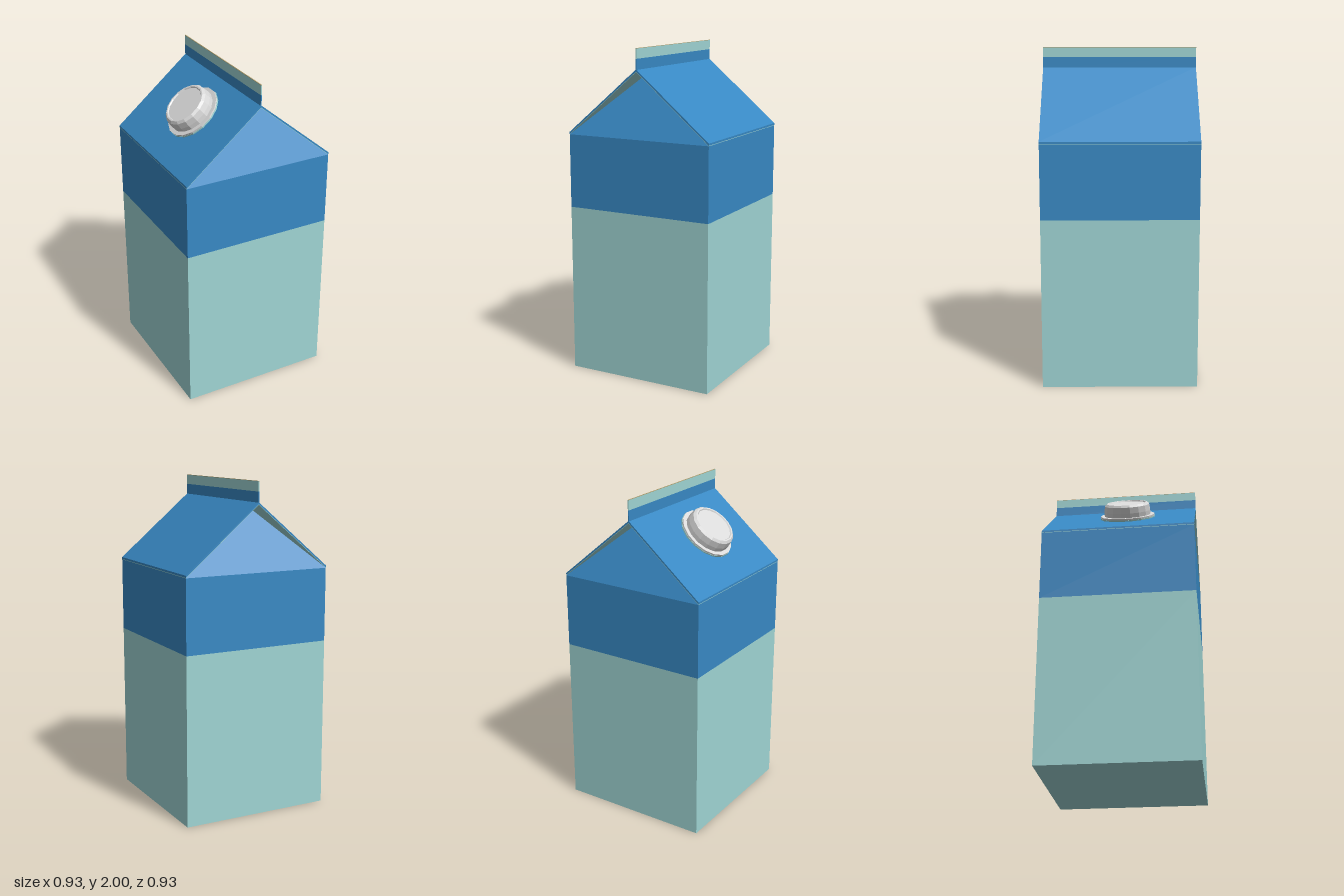
import * as THREE from 'three';

const HALF = 0.465;   // half width and depth of the carton
const BAND = 1.03;    // where the two wall colours meet
const EAVE = 1.475;   // top of the walls
const RISE = 0.39;    // height of the gable
const FOLD = 0.185;   // how far the gable tips are folded inwards

const paint = (name, color) => {
  const m = new THREE.MeshStandardMaterial({ color, flatShading: true });
  m.name = name;
  return m;
};

export function createModel() {
  const blue = paint('blue', 0x3889c4);
  const teal = paint('paleTeal', 0x9fd5d4);
  const grey = paint('lightGrey', 0xdadada);
  const tan = paint('paperTan', 0xb0a070);

  const carton = new THREE.Group();
  carton.name = 'carton';

  const add = (name, geometry, material, parent = carton) => {
    const mesh = new THREE.Mesh(geometry, material);
    mesh.name = name;
    parent.add(mesh);
    return mesh;
  };
  const box = (name, material, width, y0, y1) =>
    add(name, new THREE.BoxGeometry(width, y1 - y0, 2 * HALF), material)
      .position.set(0, (y0 + y1) / 2, 0);

  // Walls in two colour bands
  box('lowerBody', teal, 2 * HALF, 0, BAND);
  box('upperBody', blue, 2 * HALF, BAND, EAVE);

  // Folded roof sheet with a pale lining under its overhanging ends
  const roofSheet = (name, material, y0, y1) => {
    const s = new THREE.Shape();
    s.moveTo(-HALF, y0);
    s.lineTo(0, y0 + RISE);
    s.lineTo(HALF, y0);
    s.lineTo(HALF, y1);
    s.lineTo(0, y1 + RISE);
    s.lineTo(-HALF, y1);
    const g = new THREE.ExtrudeGeometry(s, { depth: 2 * HALF, bevelEnabled: false });
    add(name, g.translate(0, 0, -HALF), material);
  };
  roofSheet('roof', blue, EAVE + 0.003, EAVE + 0.015);
  roofSheet('roofLining', teal, EAVE, EAVE + 0.003);

  // Gable triangles leaning inwards at both ends
  for (const [name, turn] of [['frontGable', 0], ['backGable', Math.PI]]) {
    const g = new THREE.BufferGeometry().setFromPoints([
      new THREE.Vector3(-HALF, EAVE, HALF),
      new THREE.Vector3(HALF, EAVE, HALF),
      new THREE.Vector3(0, EAVE + RISE, HALF - FOLD),
    ]);
    g.computeVertexNormals();
    add(name, g, blue).rotation.y = turn;
  }

  // Sealed fin along the ridge
  box('lowerFin', blue, 0.006, 1.87, 1.94);
  box('upperFin', teal, 0.006, 1.94, 1.998);
  box('finEdge', tan, 0.006, 1.998, 2);

  // Screw cap standing square on the right-hand slope
  const spout = new THREE.Group();
  spout.name = 'spout';
  spout.position.set(-0.2, EAVE + 0.015 + RISE * (1 - 0.2 / HALF), 0.036);
  spout.rotation.z = Math.atan2(RISE, HALF);
  carton.add(spout);

  const turned = (name, material, profile) =>
    add(name, new THREE.LatheGeometry(
      profile.map(([r, y]) => new THREE.Vector2(r, y)), 16, Math.PI / 16), material, spout);
  turned('spoutSeal', teal, [[0, 0], [0.174, 0], [0.174, 0.008], [0, 0.008]]);
  turned('spoutFlange', grey, [[0.172, 0.008], [0.172, 0.018], [0.14, 0.018]]);
  turned('cap', grey, [
    [0.147, 0.018], [0.147, 0.045], [0.142, 0.082], [0.129, 0.095],
    [0.12, 0.095], [0.115, 0.088], [0, 0.088],
  ]);

  return carton;
}
